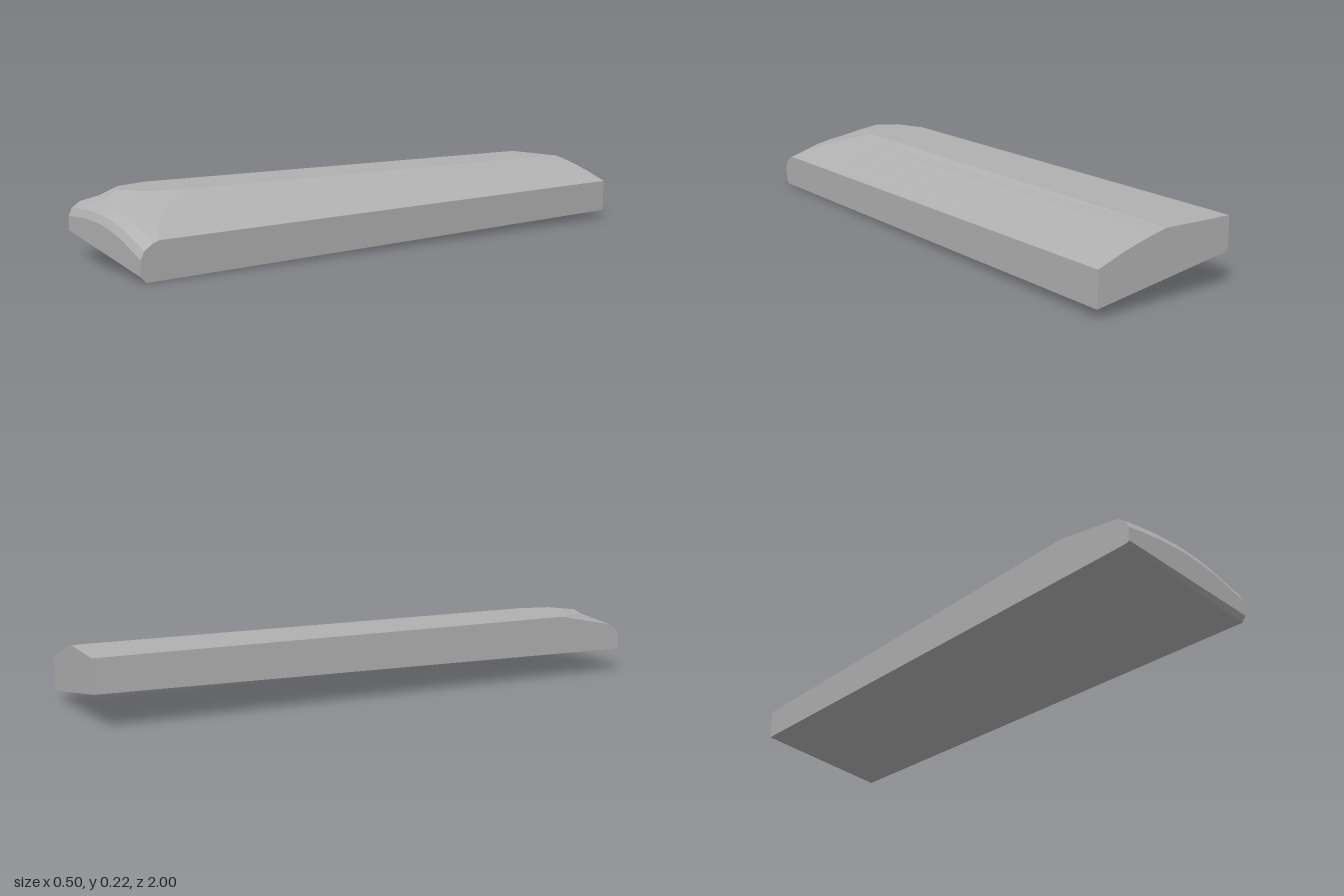
import * as THREE from 'three';

// Columns across the width: [x, z where the nose begins, height of the nose shoulder]
const COLUMNS = [
  [-0.25, 0.73, 0.18], [-0.2, 0.85, 0.184], [-0.12, 0.89, 0.188], [-0.03, 0.84, 0.185],
  [0, 0.72, 0.182], [0.06, 0.8, 0.172], [0.12, 0.86, 0.158], [0.18, 0.91, 0.137], [0.25, 0.94, 0.113],
];

// Lengthwise outline of one column, from the top back edge over the nose to the bottom back edge
function outline([x, noseZ, shoulder]) {
  const slope = Math.max(x, 0);
  const bottomFront = 0.0425 - 0.17 * x;
  const bottomBack = bottomFront + 0.03;
  const chamfer = 0.011 + 0.028 * x;
  return [
    [-1, 0.225 - 0.22 * slope - 0.4 * slope * slope],
    [noseZ, 0.225 - 0.42 * slope],
    [0.96, shoulder],
    [0.988, shoulder - 0.02],
    [1, shoulder - 0.045],
    [1, bottomFront + chamfer],
    [0.985, bottomFront],
    [-1, bottomBack],
  ].map(([z, y]) => new THREE.Vector3(x, y, z));
}

function loftColumns(columns) {
  const rings = columns.map(outline);
  const count = rings[0].length;
  const positions = [];
  const index = [];
  rings.flat().forEach((p) => positions.push(p.x, p.y, p.z));

  // Skin between neighbouring columns
  for (let i = 0; i < rings.length - 1; i++) {
    for (let j = 0; j < count; j++) {
      const next = (j + 1) % count;
      const a = i * count + j;
      const b = i * count + next;
      const c = b + count;
      const d = a + count;
      index.push(a, b, c, a, c, d);
    }
  }

  // Flat side faces
  const last = (rings.length - 1) * count;
  for (let j = 1; j < count - 1; j++) {
    index.push(0, j + 1, j);
    index.push(last, last + j, last + j + 1);
  }

  const geometry = new THREE.BufferGeometry();
  geometry.setAttribute('position', new THREE.Float32BufferAttribute(positions, 3));
  geometry.setIndex(index);
  const faceted = geometry.toNonIndexed();
  faceted.computeVertexNormals();
  return faceted;
}

export function createModel() {
  const group = new THREE.Group();
  group.name = 'slab';

  const grey = new THREE.MeshStandardMaterial({ color: 0xb0b0b0, flatShading: true });
  grey.name = 'grey';

  const body = new THREE.Mesh(loftColumns(COLUMNS), grey);
  body.name = 'slabBody';
  group.add(body);
  return group;
}
